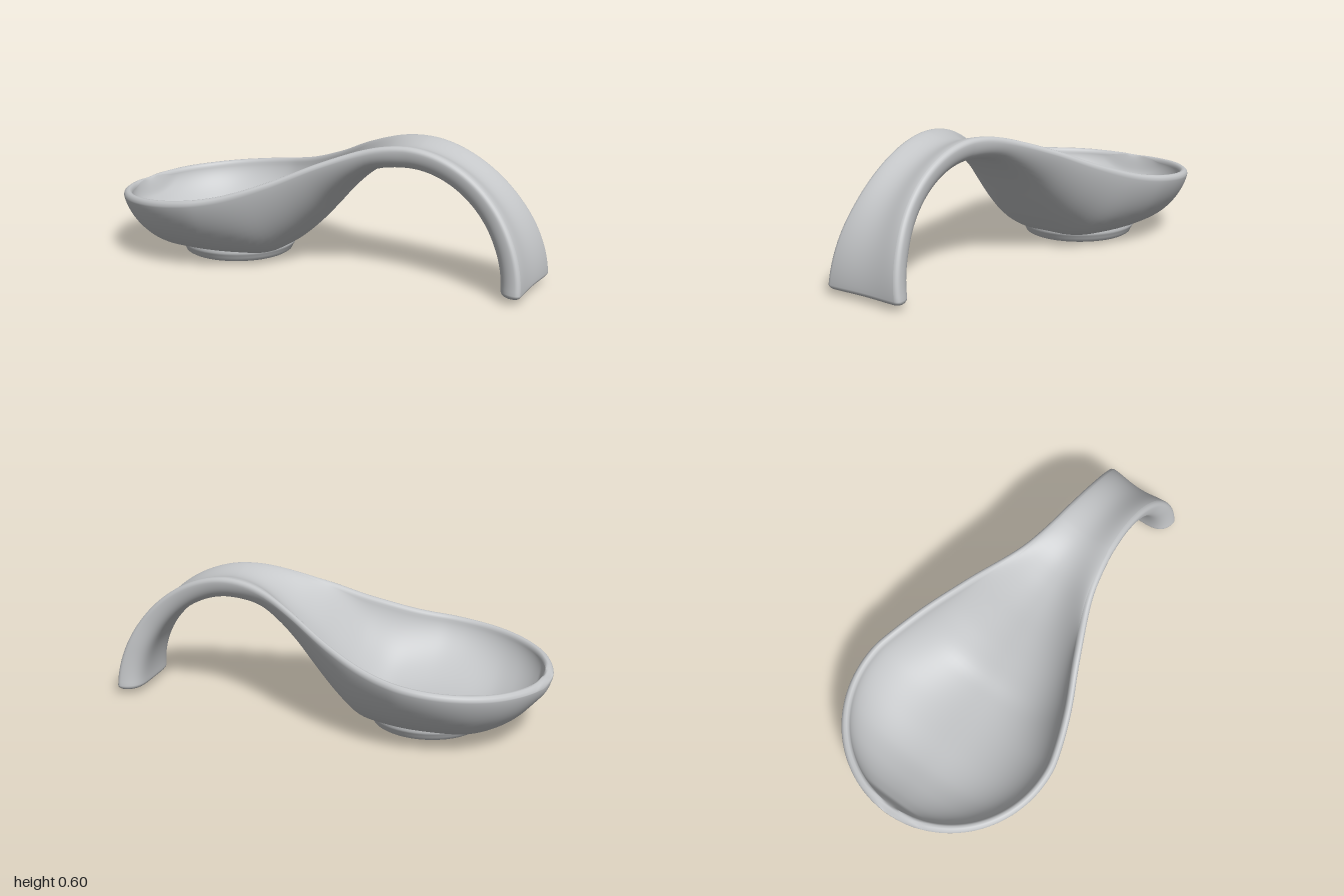
import * as THREE from 'three';

const { lerp, smoothstep } = THREE.MathUtils;
const ACROSS = 40; // segments across each face
const ROUND = 5;   // segments around each rim

// Smooth function of x through a few [x, y] points
function spline(points) {
  const slope = (i) => {
    const a = points[Math.max(0, i - 1)], b = points[Math.min(points.length - 1, i + 1)];
    return (b[1] - a[1]) / (b[0] - a[0]);
  };
  return (x) => {
    let i = 0;
    while (i < points.length - 2 && x > points[i + 1][0]) i++;
    const [x0, y0] = points[i], [x1, y1] = points[i + 1];
    const h = x1 - x0, t = (x - x0) / h, u = 1 - t;
    return u * u * (1 + 2 * t) * y0 + t * t * (3 - 2 * t) * y1 + h * t * u * (u * slope(i) - t * slope(i + 1));
  };
}

// Bowl profiles along x, and handle half width by bend angle
const rimHeight = spline([[-1, 0.262], [-0.97, 0.281], [-0.8, 0.298], [-0.5, 0.328], [-0.3, 0.362],
  [-0.1, 0.43], [0.1, 0.517], [0.3, 0.585], [0.45, 0.603], [0.6, 0.585]]);
const underHeight = spline([[-1, 0.25], [-0.985, 0.215], [-0.95, 0.178], [-0.88, 0.112], [-0.8, 0.065],
  [-0.7, 0.032], [-0.55, 0.025], [-0.3, 0.027], [-0.2, 0.045], [-0.1, 0.122], [0, 0.222], [0.1, 0.33],
  [0.2, 0.42], [0.3, 0.48], [0.45, 0.5], [0.6, 0.48]]);
const neckWidth = spline([[-0.6, 0.485], [-0.5, 0.496], [-0.4, 0.485], [-0.2, 0.416], [0, 0.318],
  [0.2, 0.217], [0.3, 0.18], [0.45, 0.15], [0.6, 0.138]]);
const handleWidth = spline([[0, 0.15], [0.3, 0.138], [0.6, 0.137], [0.9, 0.149], [1.17, 0.17], [1.571, 0.197]]);
const oval = (x, radius) => radius * Math.sqrt(Math.max(0, 1 - ((x + 0.5) / radius) ** 2));

// Bowl and neck: upright cross-sections, the rim following a round outline at the front
function bowlStation(s) {
  const x = -1 + 1.45 * s * s;
  const top = rimHeight(x), under = underHeight(x);
  const front = x < -0.5;
  const width = front ? Math.max(0.01, oval(x, 0.5) * 0.992) : neckWidth(x);
  const wall = 0.045 + 0.033 * smoothstep(x, 0.2, 0.45);
  const neck = smoothstep(x, 0.05, 0.45);
  return {
    top: [x, top], under: [x, under], width,
    dish: Math.max(0.002, (top - under - wall) * smoothstep(x, -0.98, -0.925)),
    rim: front ? (width - oval(x, 0.46)) / 2 : 0.018,
    roll: smoothstep(x, -0.985, -0.93) * (1 - smoothstep(x, -0.1, 0.45)),
    shift: 0.023 * smoothstep(x, -0.1, 0.4),
    power: lerp(3.2, 5, neck), soft: lerp(0.75, 0.53, neck),
  };
}

// Handle: cross-sections fanned round a quarter oval
function handleStation(angle) {
  const arc = (rx, ry) => [0.45 + rx * Math.sin(angle) ** 1.07, 0.045 + ry * Math.max(0, Math.cos(angle)) ** 1.07];
  return {
    top: arc(0.549, 0.558), under: arc(0.44, 0.455), width: handleWidth(angle),
    dish: 0.006 + 0.019 * Math.cos(angle),
    rim: 0.02, roll: 0, shift: 0.023, power: 5, soft: 0.53,
  };
}

// Handle tip: rounds over to a flat end
function tipStation(angle) {
  const inset = 0.02 * (1 - Math.cos(angle)), y = 0.045 - 0.02 * Math.sin(angle);
  return {
    top: [0.999 - inset, y], under: [0.89 + inset, y], width: 0.197 - inset,
    dish: 0.006, rim: 0.02, roll: 0, shift: 0.023, power: 5, soft: 0.53,
  };
}

// Closed cross-section: underside, rounded rim, dished top, rounded rim
function section({ top, under, dish, width, rim, roll, shift, power, soft }) {
  const dx = under[0] - top[0], dy = under[1] - top[1];
  const depth = Math.hypot(dx, dy);
  const r = Math.min(0.02, depth * 0.3), b = Math.min(rim, width / 2);
  const sweep = Math.PI / 2 * (1 + roll);
  const innerWidth = width - b + b * Math.cos(sweep), innerEdge = r - r * Math.sin(sweep);
  const ring = [];
  const put = (z, d) => ring.push(top[0] + dx * d / depth, top[1] + dy * d / depth, shift + z);
  const sag = (f, p, q) => Math.max(0, 1 - Math.abs(f) ** p) ** q;
  for (const side of [1, -1]) {
    for (let k = 0; k <= ACROSS; k++) {
      const f = side * Math.cos(Math.PI * k / ACROSS);
      if (side > 0) put(width * f, r + (depth - r) * sag(f, power, soft));
      else put(innerWidth * f, innerEdge + (dish - innerEdge) * sag(f, lerp(2, 2.6, roll), lerp(2, 0.65, roll)));
    }
    for (let k = 1; k < ROUND; k++) {
      const a = sweep * (side > 0 ? k : ROUND - k) / ROUND;
      put(-side * (width - b + b * Math.cos(a)), r - r * Math.sin(a));
    }
  }
  return ring;
}

// Skin the cross-sections and close both ends
function loft(rings) {
  const n = rings[0].length / 3;
  const positions = rings.flat();
  const index = [];
  for (let i = 0; i < rings.length - 1; i++) {
    for (let j = 0; j < n; j++) {
      const a = i * n + j, b = i * n + (j + 1) % n;
      index.push(a, b, a + n, b, b + n, a + n);
    }
  }
  for (const last of [false, true]) {
    const i = last ? rings.length - 1 : 0;
    const centre = [0, 0, 0];
    rings[i].forEach((v, k) => { centre[k % 3] += v / n; });
    const c = positions.length / 3;
    positions.push(...centre);
    for (let j = 0; j < n; j++) {
      const a = i * n + j, b = i * n + (j + 1) % n;
      index.push(c, last ? a : b, last ? b : a);
    }
  }
  const geometry = new THREE.BufferGeometry();
  geometry.setAttribute('position', new THREE.Float32BufferAttribute(positions, 3));
  geometry.setIndex(index);
  geometry.computeVertexNormals();
  return geometry;
}

export function createModel() {
  const glaze = new THREE.MeshStandardMaterial({ color: 0xc4c6c8 });
  glaze.name = 'grey glaze';
  const group = new THREE.Group();
  group.name = 'spoonRest';

  // Bowl flowing into the curled handle
  const rings = [];
  for (let i = 0; i < 100; i++) rings.push(section(bowlStation(i / 100)));
  for (let i = 0; i < 40; i++) rings.push(section(handleStation(Math.PI / 2 * i / 40)));
  for (let i = 0; i <= 6; i++) rings.push(section(tipStation(Math.PI / 2 * i / 6)));
  const body = new THREE.Mesh(loft(rings), glaze);
  body.name = 'bowlAndHandle';
  group.add(body);

  // Round foot with a recessed underside
  const profile = [
    [0, 0.016], [0.19, 0.016], [0.2, 0.013], [0.21, 0.004], [0.22, 0], [0.24, 0.001],
    [0.25, 0.007], [0.256, 0.02], [0.264, 0.034], [0.27, 0.045], [0.266, 0.06],
  ].map(([x, y]) => new THREE.Vector2(x, y));
  const foot = new THREE.Mesh(new THREE.LatheGeometry(profile, 64), glaze);
  foot.name = 'foot';
  foot.position.x = -0.46;
  group.add(foot);
  return group;
}
